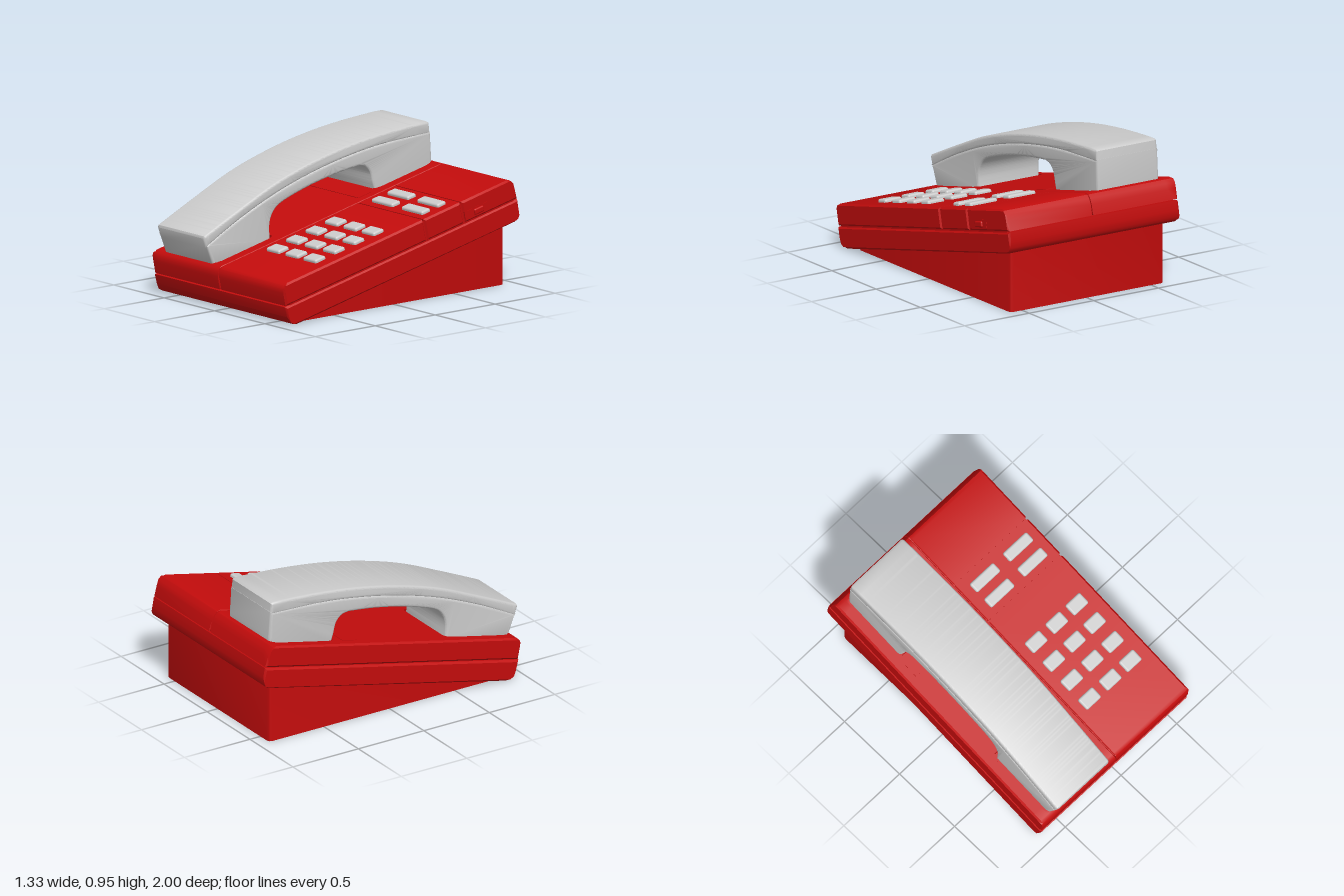
import * as THREE from 'three';
import { toCreasedNormals } from 'three/addons/utils/BufferGeometryUtils.js';
import { RoundedBoxGeometry } from 'three/addons/geometries/RoundedBoxGeometry.js';

const red = new THREE.MeshStandardMaterial({ color: 0xc40c0c });
const grey = new THREE.MeshStandardMaterial({ color: 0xcccccc });

function add(parent, name, geometry, material, x = 0, y = 0, z = 0) {
  const mesh = new THREE.Mesh(geometry, material);
  mesh.name = name;
  mesh.position.set(x, y, z);
  parent.add(mesh);
  return mesh;
}

// Closed solid through side profiles [z, y] standing at rising x stations
function loft(stations) {
  const pos = [], index = [], n = stations[0].pts.length;
  for (const { x, pts } of stations) for (const [z, y] of pts) pos.push(x, y, z);
  for (let s = 0; s < stations.length - 1; s++) {
    for (let i = 0; i < n; i++) {
      const a = s * n + i, a2 = s * n + (i + 1) % n;
      index.push(a, a + n, a2, a + n, a2 + n, a2);
    }
  }
  const cap = (pts) => THREE.ShapeUtils.triangulateShape(pts.map(([z, y]) => new THREE.Vector2(z, y)), []);
  const last = (stations.length - 1) * n;
  for (const [a, b, c] of cap(stations[0].pts)) index.push(a, b, c);
  for (const [a, b, c] of cap(stations[stations.length - 1].pts)) index.push(last + a, last + c, last + b);
  const g = new THREE.BufferGeometry();
  g.setAttribute('position', new THREE.Float32BufferAttribute(pos, 3));
  g.setIndex(index);
  return toCreasedNormals(g, 0.6);
}

// Shrinks a profile a little, for the softened ends of a panel
function inset(pts, e) {
  const zs = pts.map((p) => p[0]), ys = pts.map((p) => p[1]);
  const clamp = (v, list) => Math.min(Math.max(v, Math.min(...list) + e), Math.max(...list) - e);
  return pts.map(([z, y]) => [clamp(z, zs), clamp(y, ys)]);
}

function panel(pts, x0, x1, e0 = 0.004, e1 = 0.004) {
  return loft([
    { x: x0, pts: inset(pts, e0) }, { x: x0 + e0, pts },
    { x: x1 - e1, pts }, { x: x1, pts: inset(pts, e1) },
  ]);
}

// Side silhouette (z, y) swept across x with rounded edges
function sweep(shape, x0, x1, bevel) {
  const g = new THREE.ExtrudeGeometry(shape, {
    depth: x1 - x0 - 2 * bevel, bevelThickness: bevel, bevelSize: bevel,
    bevelOffset: -bevel, bevelSegments: 4, curveSegments: 28,
  });
  g.rotateY(-Math.PI / 2);
  g.translate(x1 - bevel, 0, 0);
  return toCreasedNormals(g, 0.6);
}

const vectors = (list) => list.map(([a, b]) => new THREE.Vector2(a, b));

const LEFT = -0.665, RIGHT = 0.65, SEAM = -0.144;
const frontEdge = [[1.0, SEAM], [0.999, -0.06], [0.992, -0.03], [0.978, -0.01], [0.955, 0]];
const backEdge = [[-0.92, 0], [-0.945, -0.01], [-0.961, -0.035], [-0.97, -0.075], [-0.976, SEAM]];

// Upper shell below the handset, with two cups sunk into its top
function cradle() {
  const section = (depth, shrink) => {
    const cup = (front, back) => [
      [front - shrink, 0], [front - shrink - 0.004, -depth],
      [back + shrink + 0.004, -depth], [back + shrink, 0],
    ];
    return [...frontEdge, ...cup(0.945, 0.44), ...cup(-0.42, -0.915), ...backEdge];
  };
  const flat = section(0, 0.05);
  return loft([
    { x: LEFT, pts: inset(flat, 0.012) },
    { x: LEFT + 0.012, pts: flat },
    { x: -0.597, pts: flat },
    { x: -0.595, pts: section(0.05, 0.05) },
    { x: -0.588, pts: section(0.05, 0.02) },
    { x: -0.57, pts: section(0.05, 0) },
    { x: -0.11, pts: section(0.05, 0) },
    { x: -0.092, pts: section(0.05, 0.02) },
    { x: -0.085, pts: section(0.05, 0.05) },
    { x: -0.083, pts: flat },
    { x: -0.013, pts: flat },
    { x: -0.009, pts: inset(flat, 0.004) },
  ]);
}

function buildHandset() {
  const handset = new THREE.Group();
  handset.name = 'handset';
  const top = [[0.7, 0.605], [0.4, 0.735], [0.1, 0.828], [-0.2, 0.893], [-0.5, 0.933], [-0.8, 0.955]];
  const seam = [[0.7, 0.535], [0.4, 0.66], [0.1, 0.752], [-0.2, 0.817], [-0.5, 0.857], [-0.888, 0.88]];

  // Outer shell of the handle
  const shell = new THREE.Shape();
  shell.moveTo(0.978, 0.39);
  shell.lineTo(1.0, 0.452);
  shell.lineTo(0.996, 0.468);
  shell.splineThru(vectors(top));
  shell.lineTo(-0.865, 0.955);
  shell.lineTo(-0.88, 0.947);
  shell.lineTo(-0.888, 0.872);
  shell.splineThru(vectors([...seam].reverse().slice(1).concat([[0.978, 0.39]])));
  add(handset, 'handsetShell', sweep(shell, -0.572, -0.102, 0.018), grey);

  // Grip with the mouthpiece and earpiece
  const grip = new THREE.Shape();
  grip.moveTo(0.982, 0.405);
  grip.splineThru(vectors(seam.map(([z, y]) => [z, y + 0.012])));
  grip.lineTo(-0.9, 0.72);
  grip.lineTo(-0.895, 0.645);
  grip.lineTo(-0.45, 0.545);
  grip.lineTo(-0.425, 0.56);
  grip.splineThru(vectors([[-0.405, 0.62], [-0.385, 0.69], [-0.345, 0.733], [-0.29, 0.745]]));
  grip.splineThru(vectors([[-0.1, 0.72], [0.1, 0.678], [0.28, 0.625], [0.38, 0.583], [0.43, 0.53], [0.45, 0.46], [0.445, 0.36]]));
  grip.lineTo(0.47, 0.345);
  grip.lineTo(0.9, 0.25);
  grip.lineTo(0.93, 0.275);
  grip.closePath();
  add(handset, 'handsetGrip', sweep(grip, -0.574, -0.1, 0.018), grey);
  return handset;
}

export function createModel() {
  const model = new THREE.Group();
  model.name = 'deskTelephone';

  // Wedge foot with softened rear corners
  const foot = (back) => [[0.78, 0], [0.76, 0.04], [back, 0.19 - back * 0.2245 + 0.03], [back, 0]];
  const footStations = [[-0.6, -0.895], [-0.594, -0.912], [-0.575, -0.92], [0.565, -0.92], [0.584, -0.912], [0.59, -0.895]];
  add(model, 'wedgeFoot', loft(footStations.map(([x, back]) => ({ x, pts: foot(back) }))), red);

  // Sloping housing: its top is the plane y = 0 of this group
  const housing = new THREE.Group();
  housing.name = 'housing';
  housing.position.y = 0.49;
  housing.rotation.x = 0.2208;
  model.add(housing);

  const tray = [
    [0.937, -0.291], [0.965, -0.281], [0.988, -0.26], [1.003, -0.22], [1.007, -0.15],
    [-0.978, -0.15], [-0.975, -0.215], [-0.965, -0.253], [-0.95, -0.275], [-0.925, -0.288],
  ];
  add(housing, 'lowerTray', panel(tray, LEFT, RIGHT, 0.012, 0.012), red);
  add(housing, 'innerCore', new THREE.BoxGeometry(0.69, 0.19, 1.91), red, 0.295, -0.107, 0.01);
  add(housing, 'handsetCradle', cradle(), red);

  // Three panels on the key side, parted by narrow grooves
  const right = (name, pts) => add(housing, name, panel(pts, -0.002, RIGHT, 0.004, 0.012), red);
  right('dialPanel', [...frontEdge, [-0.201, 0], [-0.201, SEAM]]);
  right('memoryPanel', [[-0.208, SEAM], [-0.208, 0], [-0.519, 0], [-0.519, SEAM]]);
  right('rearPanel', [[-0.526, SEAM], [-0.526, 0], ...backEdge]);

  // Hook plate between the cups
  add(housing, 'hookPlate', new THREE.BoxGeometry(0.535, 0.01, 0.108), red, -0.333, -0.002, -0.315);

  // Keys
  for (const z of [0.098, 0.263, 0.43, 0.595]) {
    for (const x of [0.13, 0.315, 0.495]) {
      add(housing, 'dialKey', new RoundedBoxGeometry(0.13, 0.05, 0.09, 3, 0.014), grey, x, -0.003, z);
    }
  }
  for (const z of [-0.425, -0.292]) {
    for (const x of [0.175, 0.472]) {
      add(housing, 'memoryKey', new RoundedBoxGeometry(0.212, 0.05, 0.074, 3, 0.014), grey, x, -0.003, z);
    }
  }

  // Volume slider on the side
  add(housing, 'sliderTrack', new THREE.BoxGeometry(0.01, 0.058, 0.2), red, RIGHT - 0.003, -0.1, -0.633);
  add(housing, 'sliderKnob', new RoundedBoxGeometry(0.04, 0.04, 0.08, 3, 0.01), red, RIGHT - 0.007, -0.1, -0.65);

  model.add(buildHandset());
  return model;
}
